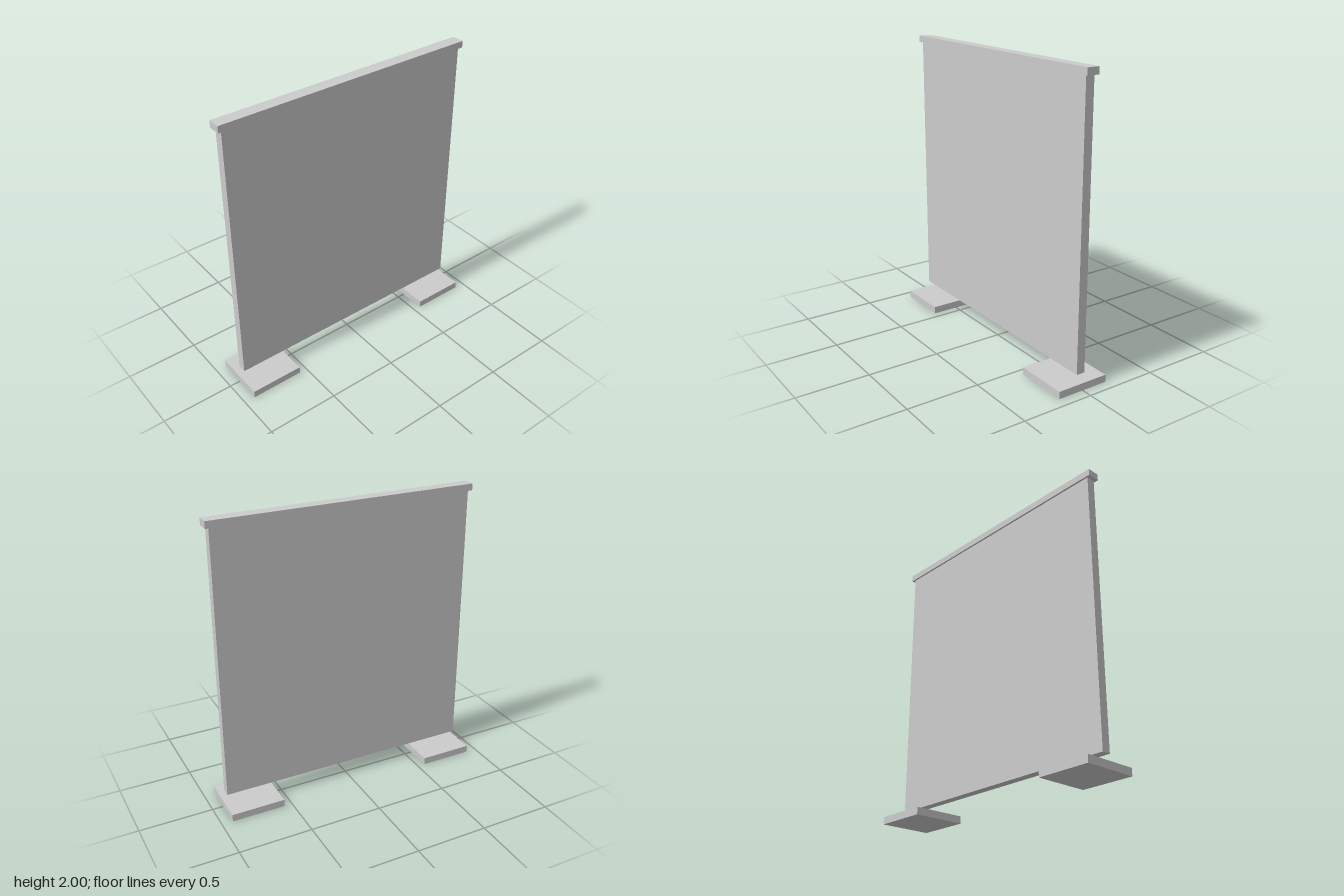
import * as THREE from 'three';

export function createModel() {
  const model = new THREE.Group();
  model.name = 'partitionScreen';
  const grey = new THREE.MeshStandardMaterial({ color: 0xcccccc });

  // Box resting at height y0, centred on z = 0
  const addBox = (name, width, height, depth, x, y0) => {
    const mesh = new THREE.Mesh(new THREE.BoxGeometry(width, height, depth), grey);
    mesh.name = name;
    mesh.position.set(x, y0 + height / 2, 0);
    model.add(mesh);
  };

  // Thin upright panel, held clear of the feet
  addBox('panel', 1.8, 1.85, 0.06, 0, 0.104);

  // Cap rail, slightly wider and deeper than the panel
  addBox('topRail', 1.85, 0.046, 0.085, 0, 1.954);

  // Square foot plates, flush with the ends of the rail
  for (const [name, side] of [['leftFoot', 1], ['rightFoot', -1]]) {
    addBox(name, 0.37, 0.05, 0.37, side * 0.74, 0);
  }

  return model;
}
